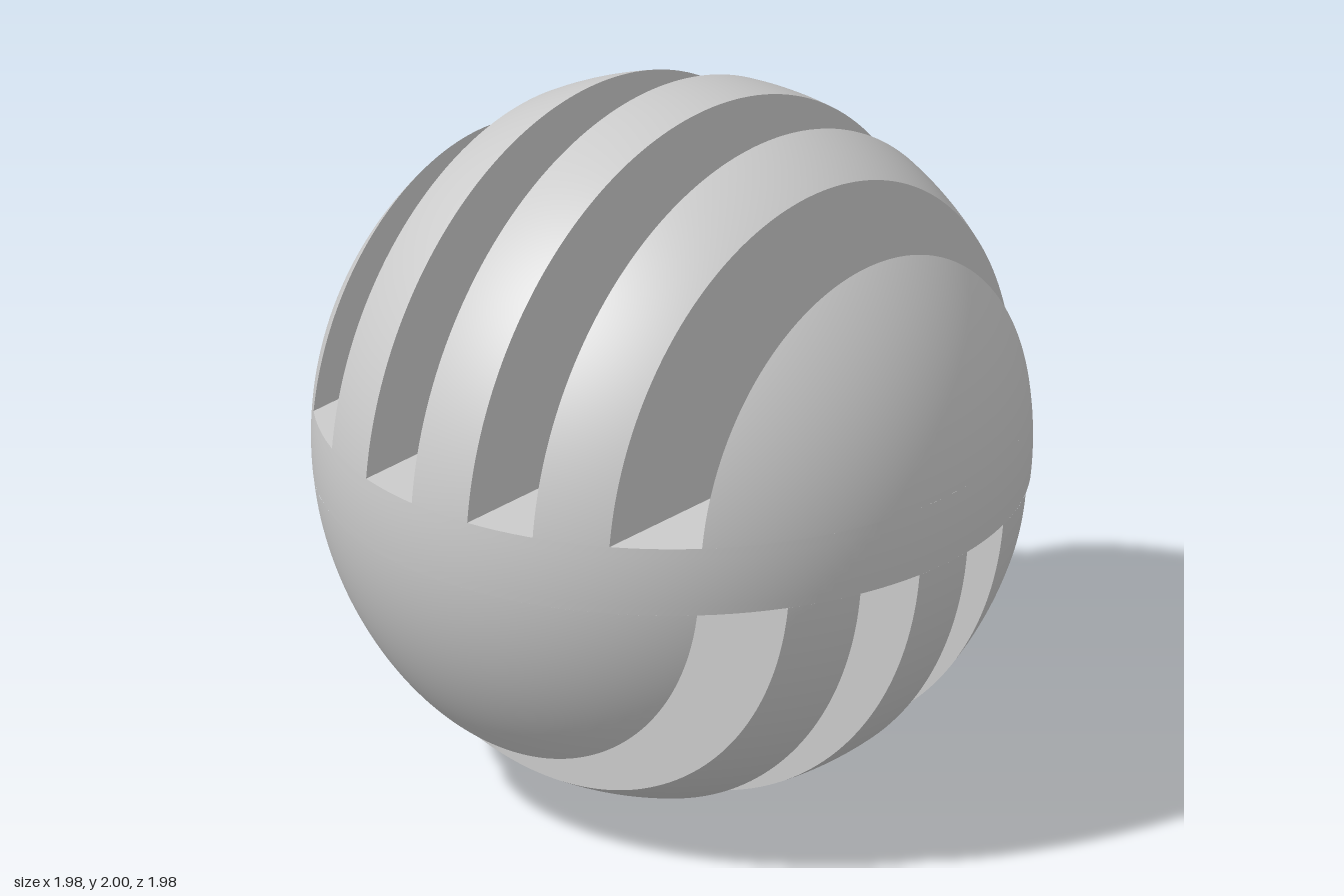
import * as THREE from 'three';

const R = 0.988;    // horizontal radius of the ball
const H = 1;        // vertical radius
const BAND = 0.1;   // half height of the solid middle band
const ARC = 96;     // steps along each fin

const material = new THREE.MeshStandardMaterial({ color: 0xcccccc });

// Point on the ball in the section at x, t running 0..1 from front to back over the top
function finPoint(x, t) {
  const k = Math.sqrt(Math.max(0, 1 - (x / R) ** 2));
  const start = Math.asin(Math.min(1, BAND / (H * k)));
  const a = start + t * (Math.PI - 2 * start);
  return [x, H * k * Math.sin(a), R * k * Math.cos(a)];
}

// Upright slice of the ball between x0 and x1, standing on the band
function finGeometry(x0, x1) {
  const pos = [], nor = [], idx = [];
  const th0 = Math.asin(x0 / R), th1 = Math.asin(x1 / R);
  const steps = Math.max(4, Math.ceil((th1 - th0) * 32));
  const row = ARC + 1;

  // curved outside
  for (let i = 0; i <= steps; i++) {
    const x = R * Math.sin(th0 + (th1 - th0) * i / steps);
    for (let j = 0; j <= ARC; j++) {
      const p = finPoint(x, j / ARC);
      const n = new THREE.Vector3(p[0] / R ** 2, p[1] / H ** 2, p[2] / R ** 2).normalize();
      pos.push(...p);
      nor.push(n.x, n.y, n.z);
      if (i < steps && j < ARC) {
        const a = i * row + j, b = a + row;
        idx.push(a, b, a + 1, b, b + 1, a + 1);
      }
    }
  }
  // flat sides
  for (const [x, s] of [[x0, -1], [x1, 1]]) {
    const base = pos.length / 3;
    for (let j = 0; j <= ARC; j++) {
      pos.push(...finPoint(x, j / ARC));
      nor.push(s, 0, 0);
      if (j > 0 && j < ARC) {
        if (s < 0) idx.push(base, base + j, base + j + 1);
        else idx.push(base, base + j + 1, base + j);
      }
    }
  }
  const g = new THREE.BufferGeometry();
  g.setAttribute('position', new THREE.Float32BufferAttribute(pos, 3));
  g.setAttribute('normal', new THREE.Float32BufferAttribute(nor, 3));
  g.setIndex(idx);
  return g;
}

// Five parallel fins with four slots between them
function finSet(name) {
  const set = new THREE.Group();
  set.name = name;
  const tip = R * Math.sqrt(1 - (BAND / H) ** 2);
  const slices = [[-tip, -0.7], [-0.5, -0.3], [-0.1, 0.1], [0.3, 0.5], [0.7, tip]];
  slices.forEach(([x0, x1], i) => {
    const fin = new THREE.Mesh(finGeometry(x0, x1), material);
    fin.name = `${name}Fin${i + 1}`;
    set.add(fin);
  });
  return set;
}

export function createModel() {
  const model = new THREE.Group();
  model.name = 'slottedBall';

  // solid middle band: curved rim plus the two slot floors
  const band = new THREE.Group();
  band.name = 'middleBand';
  const profile = [];
  for (let i = 0; i <= 8; i++) {
    const y = -BAND + 2 * BAND * i / 8;
    profile.push(new THREE.Vector2(R * Math.sqrt(1 - (y / H) ** 2), y));
  }
  const rim = new THREE.Mesh(new THREE.LatheGeometry(profile, 128), material);
  rim.name = 'bandRim';
  band.add(rim);
  for (const s of [1, -1]) {
    const floor = new THREE.Mesh(new THREE.CircleGeometry(profile[0].x, 128), material);
    floor.name = s > 0 ? 'upperSlotFloor' : 'lowerSlotFloor';
    floor.rotation.x = -s * Math.PI / 2;
    floor.position.y = s * BAND;
    band.add(floor);
  }

  // upper slots run front to back, lower slots run side to side
  const upper = finSet('upper');
  const lower = finSet('lower');
  lower.rotation.set(Math.PI, Math.PI / 2, 0);

  const ball = new THREE.Group();
  ball.name = 'ball';
  ball.position.y = H;
  ball.add(band, upper, lower);
  model.add(ball);
  return model;
}
